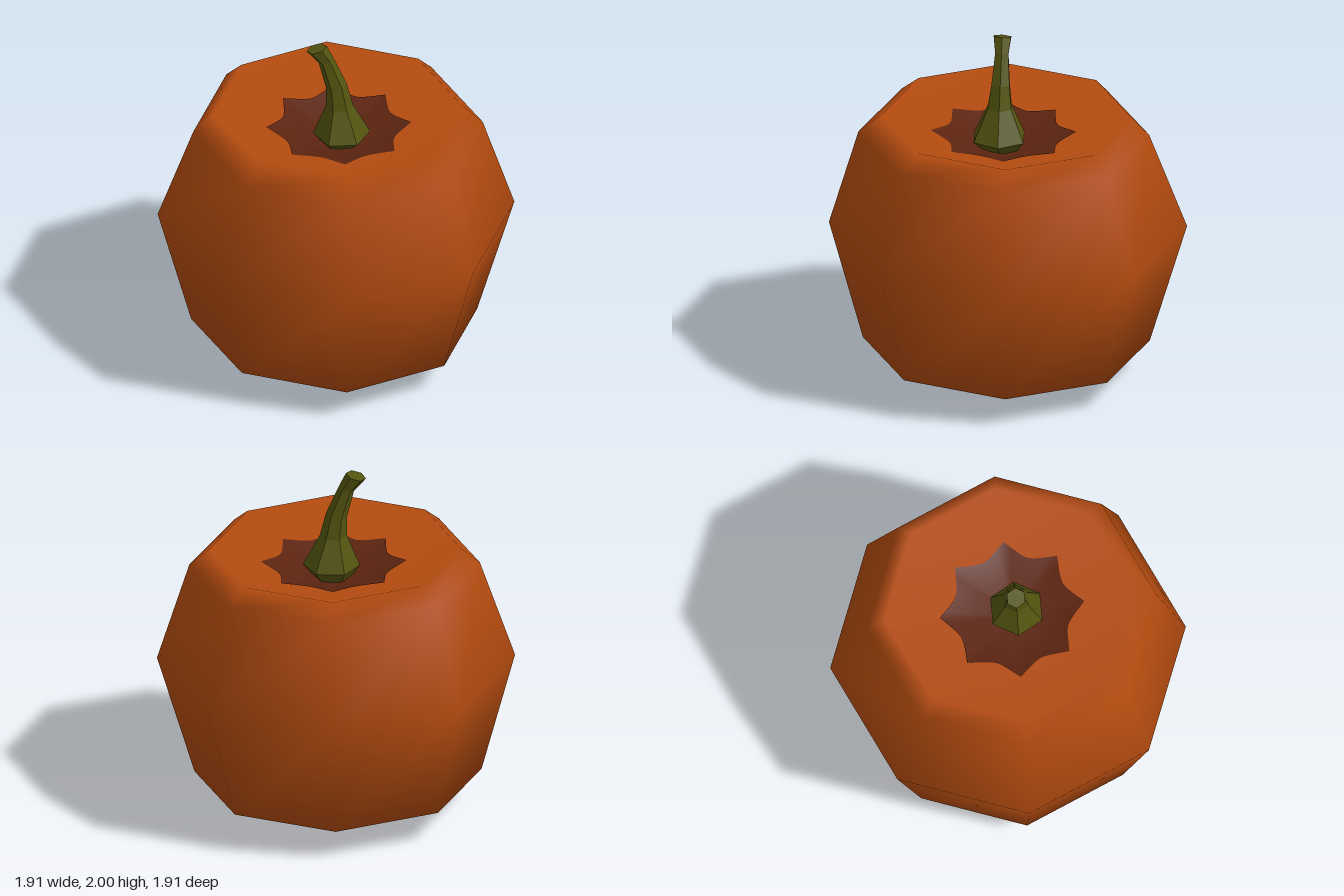
import * as THREE from 'three';

// Skin a stack of polygon rings, closed by a single point at each end.
// ring: [cx, cy, cz, radius, slopeX, slopeZ]; bottom and top: [x, y, z]
function loft(rings, sides, phase, bottom, top) {
  const pos = [...bottom];
  for (const [cx, cy, cz, r, sx = 0, sz = 0] of rings) {
    for (let j = 0; j < sides; j++) {
      const a = phase + (j / sides) * Math.PI * 2;
      const dx = r * Math.cos(a), dz = r * Math.sin(a);
      pos.push(cx + dx, cy + sx * dx + sz * dz, cz + dz);
    }
  }
  pos.push(...top);
  const last = rings.length * sides + 1;
  const id = (i, j) => 1 + i * sides + (j % sides);
  const index = [];
  for (let j = 0; j < sides; j++) {
    index.push(0, id(0, j), id(0, j + 1));
    for (let i = 0; i < rings.length - 1; i++) {
      const a = id(i, j), b = id(i, j + 1), c = id(i + 1, j), d = id(i + 1, j + 1);
      index.push(a, c, b, b, c, d);
    }
    index.push(last, id(rings.length - 1, j + 1), id(rings.length - 1, j));
  }
  const g = new THREE.BufferGeometry();
  g.setAttribute('position', new THREE.Float32BufferAttribute(pos, 3));
  g.setIndex(index);
  g.computeVertexNormals();
  return g;
}

export function createModel() {
  const orange = new THREE.MeshStandardMaterial({ name: 'orange skin', color: 0xb34b0f });
  const brown = new THREE.MeshStandardMaterial({ name: 'brown scar', color: 0x5c2410 });
  const green = new THREE.MeshStandardMaterial({ name: 'green stem', color: 0x53540f });
  green.flatShading = true;

  const group = new THREE.Group();
  group.name = 'pumpkin';
  const add = (name, geometry, material) => {
    const mesh = new THREE.Mesh(geometry, material);
    mesh.name = name;
    group.add(mesh);
  };

  // Eight-sided body, slightly tilted, with a sunken top
  const phase = THREE.MathUtils.degToRad(28.1);
  const t = 0.0135;
  const rimY = 1.548, rimR = 0.7, pitY = 1.335;
  const pit = [0.02, pitY, 0.02];
  add('body', loft([
    [-0.008, 0.185, 0.012, 0.8, -t, t],
    [0, 0.89, 0, 0.998, -t, t],
    [0.015, 1.448, 0.02, 0.81, -t, t],
    [0.01, rimY, 0.005, rimR, -t, t],
  ], 8, phase, [0, 0, 0], pit), orange);

  // Scalloped scar lying on the sunken top, one point per body corner
  const steps = 8, count = 8 * steps;
  const pos = [pit[0], pitY + 0.006, pit[2]];
  const index = [];
  for (let k = 0; k < count; k++) {
    const u = (k % steps) / steps;
    const r = 0.325 + 0.08 * Math.pow(Math.abs(2 * u - 1), 1.8);
    const a = phase + (k / count) * Math.PI * 2;
    // distance to the pit centre measured along the octagonal facets
    const half = Math.PI / 8;
    const facet = Math.cos((u * 2 - 1) * half) / Math.cos(half);
    const dx = r * Math.cos(a), dz = r * Math.sin(a);
    const y = pitY + (rimY - pitY) * (r * facet / rimR) + t * (dz - dx);
    pos.push(pit[0] + dx, y + 0.006, pit[2] + dz);
    index.push(0, 1 + ((k + 1) % count), 1 + k);
  }
  const scar = new THREE.BufferGeometry();
  scar.setAttribute('position', new THREE.Float32BufferAttribute(pos, 3));
  scar.setIndex(index);
  scar.computeVertexNormals();
  add('stemScar', scar, brown);

  // Six-sided faceted stem, flared at the foot and bent at the tip
  add('stem', loft([
    [0.03, 1.36, 0.03, 0.1],
    [0.04, 1.43, 0.04, 0.16],
    [0.028, 1.61, 0.04, 0.076],
    [0.01, 1.74, 0.04, 0.058, 0.2],
    [-0.045, 1.905, 0.05, 0.042, 0.35],
    [-0.097, 1.985, 0.062, 0.056, 0.28],
  ], 6, Math.PI / 4, [0.03, 1.34, 0.03], [-0.097, 1.985, 0.062]), green);

  return group;
}
